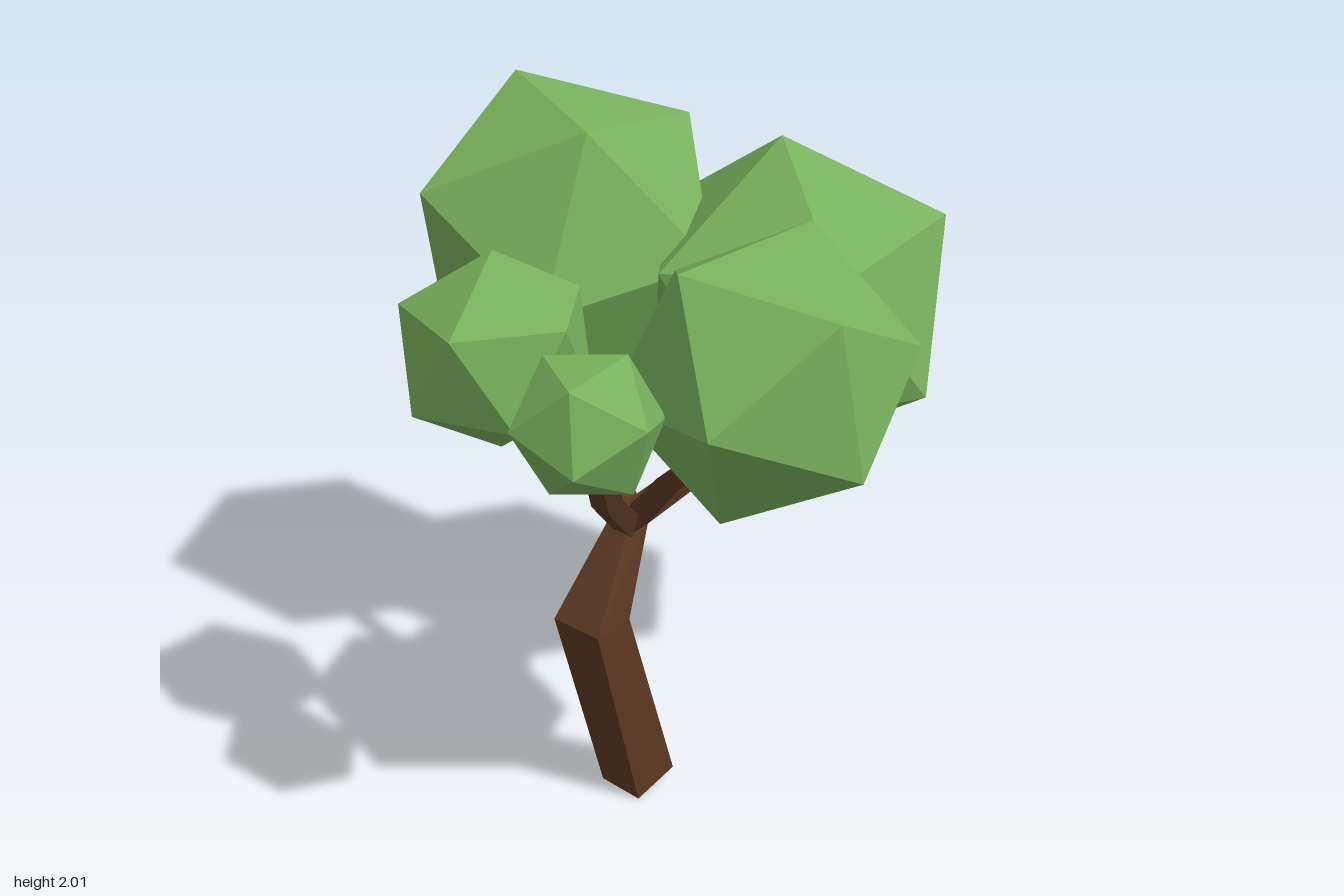
import * as THREE from 'three';

const V = (a) => new THREE.Vector3(...a);
const leaf = new THREE.MeshStandardMaterial({ color: 0x78b15c, flatShading: true });
const bark = new THREE.MeshStandardMaterial({ color: 0x5c3822, flatShading: true });

// Closed skin over four-cornered rings, each counterclockwise about the direction of travel
function loft(name, rings) {
  const index = [];
  const last = (rings.length - 1) * 4;
  for (let r = 0; r < last; r += 4) {
    for (let i = 0; i < 4; i++) {
      const a = r + i, b = r + (i + 1) % 4;
      index.push(a, b, b + 4, a, b + 4, a + 4);
    }
  }
  index.push(0, 2, 1, 0, 3, 2, last, last + 1, last + 2, last, last + 2, last + 3);
  const indexed = new THREE.BufferGeometry().setFromPoints(rings.flat());
  indexed.setIndex(index);
  const geometry = indexed.toNonIndexed();
  geometry.computeVertexNormals();
  const mesh = new THREE.Mesh(geometry, bark);
  mesh.name = name;
  return mesh;
}

// Square-section limb along a bent path, tapering from one radius to another
function branch(name, path, r0, r1) {
  const pts = path.map(V);
  const rings = pts.map((p, k) => {
    const before = pts[Math.max(k - 1, 0)], after = pts[Math.min(k + 1, pts.length - 1)];
    const t = after.clone().sub(before).normalize();
    const side = new THREE.Vector3(0.3, 0, 1).cross(t).normalize();
    const up = t.clone().cross(side);
    const r = THREE.MathUtils.lerp(r0, r1, k / (pts.length - 1));
    return [0, 1, 2, 3].map((i) => {
      const a = Math.PI / 4 + i * Math.PI / 2;
      return p.clone().addScaledVector(side, r * Math.cos(a)).addScaledVector(up, r * Math.sin(a));
    });
  });
  return loft(name, rings);
}

// Icosahedron turned so that two neighbouring corners point along a and b
function foliage(name, center, radius, a, b) {
  const p = V(a).normalize(), q = V(b).normalize();
  const x = p.clone().sub(q).normalize();
  const y = p.clone().add(q).normalize();
  const z = x.clone().cross(y);
  const mesh = new THREE.Mesh(new THREE.IcosahedronGeometry(radius, 0), leaf);
  mesh.quaternion.setFromRotationMatrix(new THREE.Matrix4().makeBasis(x, y, z));
  mesh.position.set(...center);
  mesh.name = name;
  return mesh;
}

export function createModel() {
  const tree = new THREE.Group();
  tree.name = 'tree';

  // Leaning trunk with one sharp bend
  tree.add(loft('trunk', [
    [[-0.305, 0, 0.01], [-0.265, 0, 0.155], [-0.12, 0.04, 0.12], [-0.16, 0.04, -0.03]].map(V),
    [[-0.48, 0.667, 0.06], [-0.42, 0.655, 0.205], [-0.29, 0.655, 0.16], [-0.34, 0.66, 0.015]].map(V),
    [[-0.27, 0.93, 0.03], [-0.25, 0.93, 0.1], [-0.18, 0.92, 0.09], [-0.2, 0.92, 0.02]].map(V),
  ]));

  // Branches fanning out from the trunk top
  tree.add(
    branch('leftBranch', [[-0.23, 0.92, 0.06], [0, 1.05, 0.1], [0.3, 1.1, 0]], 0.045, 0.036),
    branch('frontBranch', [[-0.23, 0.9, 0.06], [-0.19, 1.1, 0.22], [-0.15, 1.35, 0.52]], 0.045, 0.036),
    branch('rightBranch', [[-0.23, 0.9, 0.06], [-0.45, 1.16, 0.32], [-0.6, 1.46, 0.52]], 0.045, 0.036),
    branch('backBranch', [[-0.22, 0.9, 0.06], [-0.23, 1.1, -0.08], [-0.22, 1.35, -0.3]], 0.045, 0.036),
  );

  // Leaf clumps
  tree.add(
    foliage('leftFoliage', [0.42, 1.425, -0.06], 0.5, [-0.06, 0.495, 0], [0.33, 0.265, 0.26]),
    foliage('backFoliage', [-0.075, 1.57, -0.525], 0.5, [-0.035, 0.43, -0.235], [-0.095, 0.405, 0.29]),
    foliage('frontFoliage', [-0.135, 1.567, 0.595], 0.4, [0.165, 0.353, -0.055], [-0.25, 0.323, -0.025]),
    foliage('rightFoliage', [-0.645, 1.567, 0.11], 0.279, [0, 1, 0], [0.894, 0.447, 0]),
    foliage('smallRightFoliage', [-0.65, 1.56, 0.595], 0.2, [0.055, 0.04, 0.19], [0.1, 0.175, 0.02]),
    foliage('smallFrontFoliage', [0.06, 1.52, 0.39], 0.208, [0.17, 0.02, 0.13], [0.03, 0.19, 0.05]),
  );
  return tree;
}
